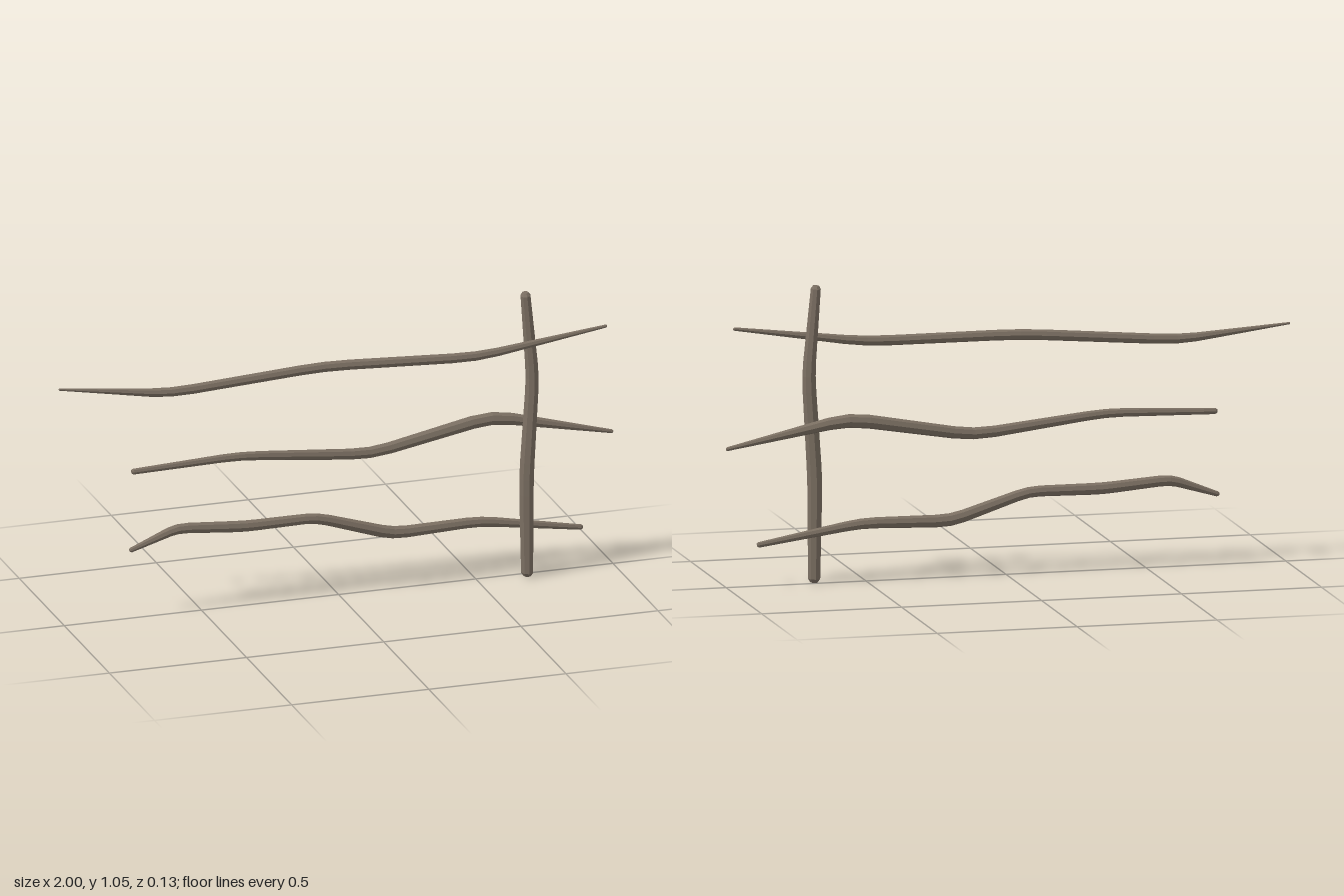
import * as THREE from 'three';

const SIDES = 8;

// Replace each interior corner of a [x, y, z, radius] path by a short rounded bend.
function softenPath(path) {
  const pts = path.map(p => new THREE.Vector4(...p));
  const out = [pts[0]];
  for (let i = 1; i < pts.length - 1; i++) {
    const before = pts[i].clone().lerp(pts[i - 1], 0.16);
    const after = pts[i].clone().lerp(pts[i + 1], 0.16);
    const middle = before.clone().add(after).multiplyScalar(0.5).lerp(pts[i], 0.5);
    out.push(before, middle, after);
  }
  out.push(pts[pts.length - 1]);
  return out;
}

// Tapered, faceted branch swept along a path, with bevelled closed ends.
function branch(name, path, material, reference, stretch = 1) {
  const pts = softenPath(path);
  const at = p => new THREE.Vector3(p.x, p.y, p.z);
  const tangents = pts.map((p, i) =>
    at(pts[Math.min(i + 1, pts.length - 1)]).sub(at(pts[Math.max(i - 1, 0)])).normalize());
  const rings = pts.map((p, i) => ({ c: at(p), t: tangents[i], r: p.w }));

  // Bevel both tips by pulling the end rings inward and adding smaller ones.
  const bevel = (ring, sign) => {
    const tip = { c: ring.c.clone(), t: ring.t, r: ring.r * 0.6 };
    ring.c.addScaledVector(ring.t, -sign * ring.r * 0.6);
    return tip;
  };
  const first = bevel(rings[0], -1), last = bevel(rings[rings.length - 1], 1);
  rings.unshift(first);
  rings.push(last);

  const loops = rings.map(({ c, t, r }) => {
    const u = reference.clone().addScaledVector(t, -reference.dot(t)).normalize();
    const v = t.clone().cross(u);
    return Array.from({ length: SIDES }, (_, j) => {
      const a = j / SIDES * Math.PI * 2;
      return c.clone().addScaledVector(u, Math.cos(a) * r * stretch).addScaledVector(v, Math.sin(a) * r);
    });
  });

  const tris = [];
  const end = loops.length - 1;
  for (let j = 0; j < SIDES; j++) {
    const k = (j + 1) % SIDES;
    for (let i = 0; i < end; i++) {
      const a = loops[i][j], b = loops[i][k], c = loops[i + 1][k], d = loops[i + 1][j];
      tris.push(a, b, c, a, c, d);
    }
    tris.push(rings[0].c, loops[0][k], loops[0][j]);
    tris.push(rings[end].c, loops[end][j], loops[end][k]);
  }
  const geometry = new THREE.BufferGeometry().setFromPoints(tris);
  geometry.computeVertexNormals();
  const mesh = new THREE.Mesh(geometry, material);
  mesh.name = name;
  return mesh;
}

export function createModel() {
  const group = new THREE.Group();
  group.name = 'branchFence';
  const wood = new THREE.MeshStandardMaterial({ color: 0x7b6f62, flatShading: true });
  wood.name = 'weathered wood';
  const up = new THREE.Vector3(0, 1, 0);
  const front = new THREE.Vector3(0, 0, 1);

  // Upright post, deeper than it is wide
  group.add(branch('post', [
    [0.68, 0.0, 0.022, 0.022], [0.677, 0.36, 0.022, 0.027],
    [0.70, 0.73, 0.022, 0.024], [0.673, 1.045, 0.022, 0.018],
  ], wood, front, 1.2));

  // Three crooked horizontal rails
  group.add(branch('topRail', [
    [-1.0, 0.85, -0.06, 0.004], [-0.61, 0.804, -0.026, 0.018], [-0.05, 0.846, -0.006, 0.019],
    [0.49, 0.836, 0.044, 0.018], [0.96, 0.90, 0.054, 0.006],
  ], wood, up));
  group.add(branch('middleRail', [
    [-0.755, 0.54, 0.002, 0.011], [-0.36, 0.553, 0.0, 0.016], [0.12, 0.5, -0.015, 0.021],
    [0.57, 0.58, -0.033, 0.025], [1.0, 0.487, 0.0, 0.007],
  ], wood, up));
  group.add(branch('bottomRail', [
    [-0.76, 0.247, -0.005, 0.009], [-0.585, 0.308, -0.01, 0.019], [-0.34, 0.288, -0.008, 0.021],
    [-0.08, 0.29, -0.008, 0.019], [0.2, 0.2, -0.008, 0.023], [0.52, 0.207, -0.012, 0.019],
    [0.89, 0.145, -0.004, 0.01],
  ], wood, up));

  return group;
}
